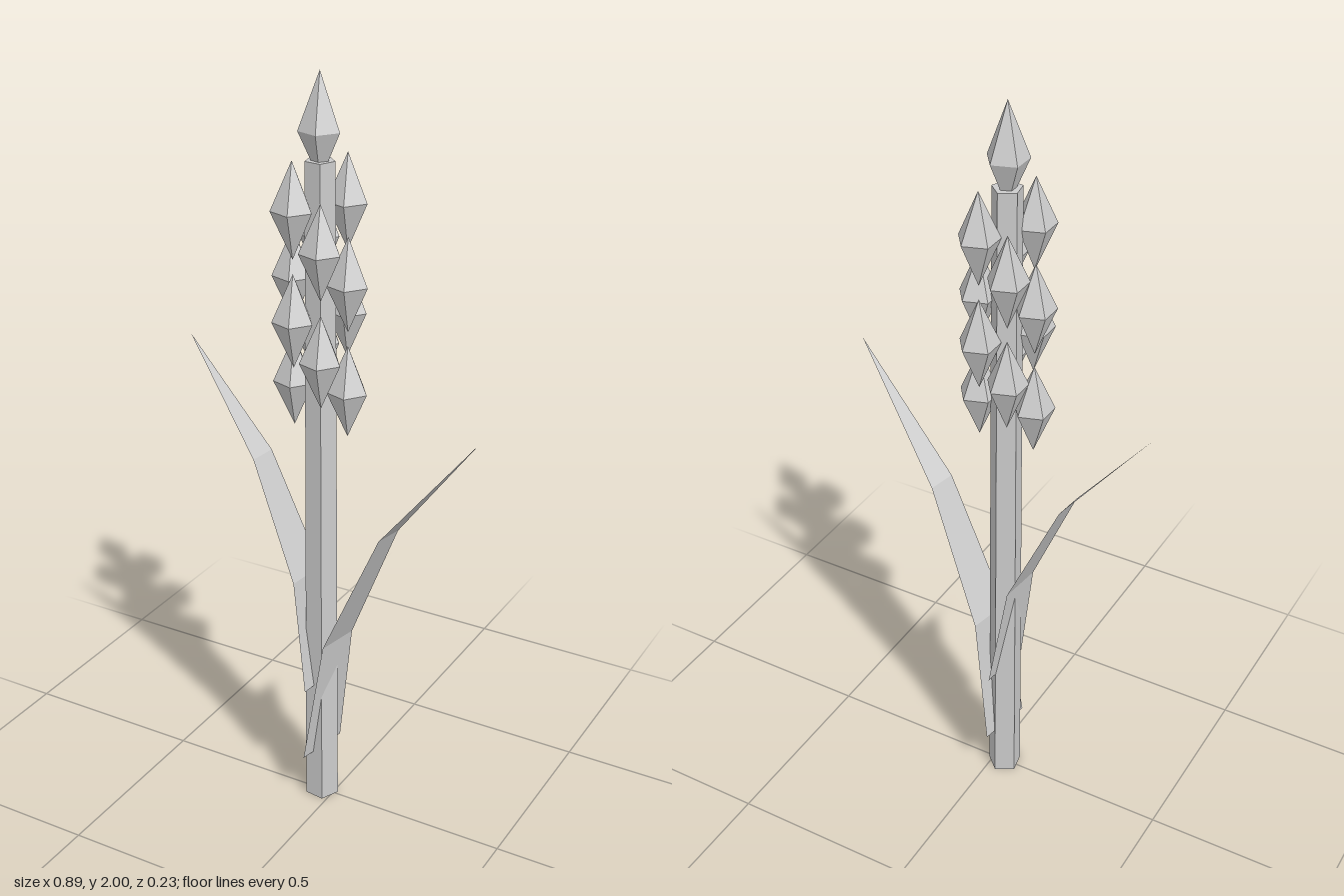
import * as THREE from 'three';

const AXIS_X = -0.034; // the stem stands slightly off centre

export function createModel() {
  const group = new THREE.Group();
  const grey = new THREE.MeshStandardMaterial({
    name: 'plainGrey', color: 0xcccccc, flatShading: true, side: THREE.DoubleSide,
  });

  const add = (name, geometry, x, y, z) => {
    const mesh = new THREE.Mesh(geometry, grey);
    mesh.name = name;
    mesh.position.set(x, y, z);
    group.add(mesh);
    return mesh;
  };

  // Five-sided tapering stem
  add('stem', new THREE.CylinderGeometry(0.038, 0.046, 1.79, 5, 1, false, Math.PI / 2 + 0.19), AXIS_X, 0.895, 0);

  // Buds: five-sided double pyramids with a corner towards +x
  const budGeometry = (top) => new THREE.LatheGeometry(
    [new THREE.Vector2(0, -0.12), new THREE.Vector2(0.053, 0), new THREE.Vector2(0, top)],
    5, Math.PI / 2);
  const bud = budGeometry(0.12);
  add('topBud', budGeometry(0.14), AXIS_X, 1.86, 0);

  // Opposite pairs, each pair a sixth of a turn further round and a step higher
  for (let i = 0; i < 6; i++) {
    for (const side of [0, Math.PI]) {
      const angle = (i * Math.PI) / 3 + side;
      add('bud', bud, AXIS_X + 0.076 * Math.cos(angle), 1.22 + 0.092 * i, 0.076 * Math.sin(angle));
    }
  }

  // Leaves: bent tapering blades; each row is [outward, up, half width]
  const rows = [[0, 0, 0.077], [0.055, 0.355, 0.06], [0.22, 0.715, 0.039], [0.488, 1.045, 0]];
  const leafGeometry = (scale) => {
    const positions = [];
    const index = [];
    rows.forEach(([out, up, half], i) => {
      positions.push(out * scale, up * scale * 1.02, half, out * scale, up * scale * 1.02, -half);
      if (i > 0) {
        const a = 2 * (i - 1);
        index.push(a, a + 1, a + 2);
        if (half > 0) index.push(a + 1, a + 3, a + 2);
      }
    });
    const geometry = new THREE.BufferGeometry();
    geometry.setAttribute('position', new THREE.Float32BufferAttribute(positions, 3));
    geometry.setIndex(index);
    geometry.computeVertexNormals();
    return geometry;
  };
  add('leftLeaf', leafGeometry(1), AXIS_X, 0.145, 0).rotation.y = -0.19;
  add('rightLeaf', leafGeometry(0.85), AXIS_X, 0.36, 0).rotation.y = Math.PI - 0.104;

  return group;
}
